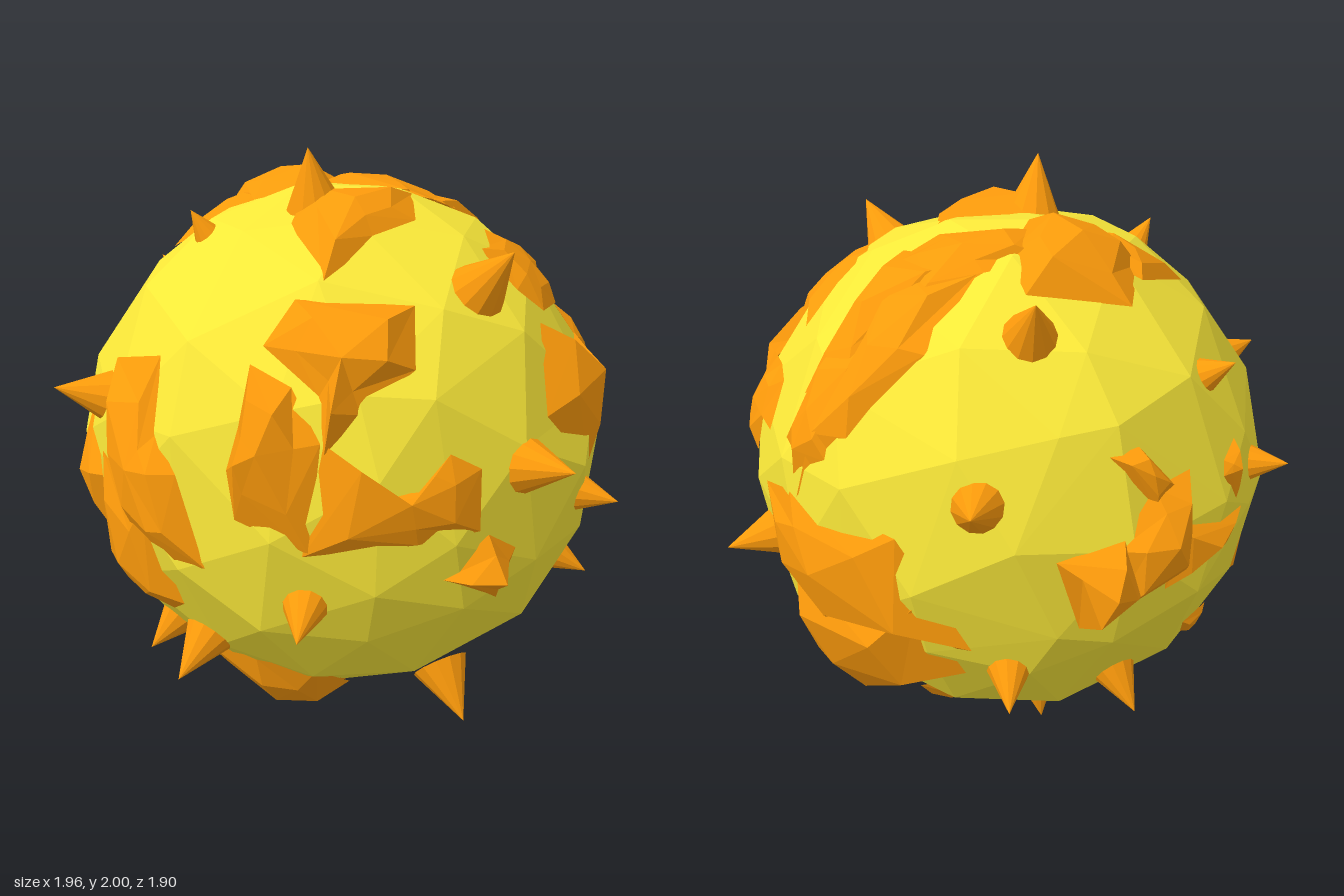
import * as THREE from 'three';
import { mergeVertices } from 'three/addons/utils/BufferGeometryUtils.js';

const CENTRE = new THREE.Vector3(-0.015, 0.96, 0.01);
const DEPTH = 0.975; // the ball is slightly shallower front to back
const yellow = new THREE.MeshStandardMaterial({ color: 0xfbe939, flatShading: true });
const orange = new THREE.MeshStandardMaterial({ color: 0xff9c0b, flatShading: true, side: THREE.DoubleSide });

let seed = 7;
const rand = () => {
  seed = (seed * 16807) % 2147483647;
  return seed / 2147483647 - 0.5;
};

// Low-poly ball with slightly irregular facets
function makeBody() {
  let geo = new THREE.IcosahedronGeometry(0.9, 2);
  geo.deleteAttribute('normal');
  geo.deleteAttribute('uv');
  geo = mergeVertices(geo, 1e-3);
  const pos = geo.attributes.position;
  const v = new THREE.Vector3();
  for (let i = 0; i < pos.count; i++) {
    v.fromBufferAttribute(pos, i);
    v.x += rand() * 0.16;
    v.y += rand() * 0.16;
    v.z += rand() * 0.16;
    v.setLength(0.9 + rand() * 0.02);
    pos.setXYZ(i, v.x, v.y, v.z * DEPTH);
  }
  geo = geo.toNonIndexed();
  geo.computeVertexNormals();
  const body = new THREE.Mesh(geo, yellow);
  body.position.copy(CENTRE);
  body.name = 'body';
  return body;
}

// Directions a patch outline is laid on from: azimuth from +z, elevation
function frame(azimuth, elevation) {
  const a = THREE.MathUtils.degToRad(azimuth), e = THREE.MathUtils.degToRad(elevation);
  const out = new THREE.Vector3(Math.sin(a) * Math.cos(e), Math.sin(e), Math.cos(a) * Math.cos(e));
  const right = new THREE.Vector3(Math.cos(a), 0, -Math.sin(a));
  return { right, up: out.clone().cross(right), out };
}

// Faceted crust: an outline on the ball, an uneven inner ring and a raised middle
function makePatch({ right, up, out }, outline, rise) {
  const onBall = (u, v, r) => {
    const k = Math.min(1, 0.89 / Math.hypot(u, v));
    u *= k;
    v *= k;
    return new THREE.Vector3()
      .addScaledVector(right, u).addScaledVector(up, v)
      .addScaledVector(out, Math.sqrt(0.81 - u * u - v * v))
      .setLength(r);
  };
  const rim = outline.map(([u, v]) => onBall(u, v, 0.887));
  const mid = rim.reduce((s, p) => s.add(p), new THREE.Vector3()).setLength(0.9 + rise);
  const ring = rim.map((p) => p.clone().lerp(mid, 0.42).setLength(0.9 + rise * (0.5 + rand() * 0.8)));
  const n = rim.length, tris = [];
  for (let i = 0; i < n; i++) {
    const j = (i + 1) % n;
    tris.push(rim[i], rim[j], ring[j], rim[i], ring[j], ring[i], ring[i], ring[j], mid);
  }
  // keep every triangle facing outward
  for (let i = 0; i < tris.length; i += 3) {
    const [a, b, c] = tris.slice(i, i + 3);
    if (b.clone().sub(a).cross(c.clone().sub(a)).dot(a) < 0) [tris[i + 1], tris[i + 2]] = [c, b];
  }
  const points = tris.map((p) => new THREE.Vector3(p.x, p.y, p.z * DEPTH));
  const geo = new THREE.BufferGeometry().setFromPoints(points);
  geo.computeVertexNormals();
  const patch = new THREE.Mesh(geo, orange);
  patch.name = 'crustPatch';
  return patch;
}

const front = frame(0, 0), side = frame(90, 0), top = frame(0, 90), under = frame(0, -90);
const backUpper = frame(217, 25), backLower = frame(143, -25);

// [rise, outline]; front is (x, y), side is (z, y), top and under are (x, z), the rest relative to the centre
const FRONT_PATCHES = [
  [0.08, [[-.2, 1.62], [.16, 1.6], [.15, 1.44], [-.02, 1.33], [-.13, 1.22], [-.14, 1.38], [-.3, 1.5]]],
  [0.07, [[-.34, 1.45], [-.22, 1.4], [-.14, 1.25], [-.18, .91], [-.4, 1], [-.42, 1.15], [-.38, 1.28]]],
  [0.025, [[-.13, 1.25], [0, 1.1], [.15, 1.1], [.25, 1.2], [.35, 1.14], [.35, .94], [.15, .93], [-.2, .9]]],
  [0.09, [[.23, .79], [.38, .92], [.48, .84], [.43, .65]]],
  [0.08, [[-.56, .35], [-.35, .37], [-.15, .35], [-.03, .22], [-.1, .15], [-.2, .12], [-.38, .1]]],
  [0.05, [[-.62, 1.42], [-.64, 1.2], [-.58, 1.1], [-.5, .8], [-.58, .78], [-.74, .85], [-.82, 1.1], [-.78, 1.35]]],
  [0.04, [[-.84, 1.05], [-.7, .95], [-.58, .6], [-.62, .54], [-.75, .5], [-.84, .65]]],
];
const SIDE_PATCHES = [
  [0.07, [[.62, 1.23], [.42, 1.48], [.35, 1.32], [.1, 1.35], [.04, 1.22], [.25, 1.2], [.42, .98]]],
  [0.03, [[.12, 1.34], [-.1, 1.4], [-.2, 1.38], [-.24, 1.22], [-.1, 1.22], [-.1, 1.08], [.03, 1.1], [.17, 1.2]]],
  [0.01, [[.38, 1.58], [.3, 1.7], [.1, 1.72], [-.02, 1.65], [-.1, 1.53], [.05, 1.55], [.18, 1.48], [.35, 1.5]]],
  [0.03, [[-.1, 1.78], [-.3, 1.82], [-.47, 1.48], [-.36, 1.4], [-.25, 1.65]]],
  [0.03, [[-.33, 1.55], [-.45, 1.6], [-.56, 1.25], [-.46, 1.15], [-.37, 1.25]]],
  [0.04, [[-.28, 1.05], [-.45, 1.1], [-.77, 1.08], [-.82, .68], [-.55, .6], [-.3, .8]]],
  [0.08, [[-.22, .52], [-.36, .52], [-.45, .82], [-.8, .85], [-.76, .55], [-.4, .28], [-.18, .33]]],
];
const TOP_PATCHES = [
  [0.02, [[-.6, -.08], [-.42, -.28], [-.25, -.22], [-.3, -.06]]],
  [0.07, [[-.36, -.42], [-.02, -.45], [.02, -.28], [-.08, -.05], [-.32, -.03], [-.42, -.2]]],
  [0.03, [[-.12, -.3], [.1, -.35], [.35, -.42], [.4, -.15], [.22, -.08], [-.08, -.13]]],
  [0.03, [[.12, -.35], [.3, -.55], [.55, -.58], [.74, -.5], [.45, -.38], [.35, -.2]]],
  [0.05, [[-.15, .1], [.22, .02], [.2, .28], [.05, .4], [-.12, .58], [-.2, .3]]],
];
const UNDER_PATCHES = [
  [0.05, [[-.35, .42], [-.08, .44], [.12, .2], [.2, -.02], [0, -.2], [-.24, .02]]],
];
const BACK_UPPER_PATCHES = [
  [0.1, [[-.5, -.25], [-.3, -.25], [-.22, -.45], [-.42, -.5]]],
  [0.07, [[-.33, -.28], [-.18, -.13], [-.03, -.12], [-.04, -.28], [-.06, -.45], [-.33, -.5]]],
  [0.04, [[-.14, -.28], [.27, -.34], [.2, -.42], [-.14, -.48]]],
  [0.03, [[-.3, .01], [-.2, .01], [-.1, -.15], [-.18, -.2]]],
  [0.03, [[.15, -.15], [.24, -.1], [.22, -.3], [.14, -.2]]],
  [0.04, [[.78, 0], [.87, -.1], [.82, -.33], [.72, -.3]]],
  [0.05, [[.4, -.64], [.6, -.43], [.75, -.46], [.66, -.58], [.5, -.7]]],
  [0.03, [[.08, -.88], [.27, -.74], [.5, -.68], [.36, -.81]]],
  [0.01, [[.05, -.68], [.18, -.66], [.15, -.76]]],
];
const BACK_LOWER_PATCHES = [
  [0.04, [[-.45, -.7], [-.18, -.62], [.1, -.64], [.15, -.73], [.1, -.86], [-.12, -.88], [-.3, -.82]]],
  [0.01, [[0, -.35], [.08, -.45], [.06, -.62], [-.03, -.62]]],
];

// Spikes: tip position and size
const SPIKES = [
  [-.14, 2, .2, 1], [.45, 1.75, .6, 1], [-.98, 1.25, .28, 1], [.62, 1.13, .82, 1],
  [.86, .88, .5, .75], [.98, .78, -.24, 1], [.81, .55, .36, .9], [.61, .18, -.02, .9],
  [.33, .21, .73, 1], [-.22, .66, .95, 1], [-.72, .27, .3, 1], [-.6, .36, .65, .9],
  [-.91, 1.09, -.42, 1], [-.67, 1.5, -.5, .8], [-.52, 1.79, .11, .75], [-.02, 1.77, -.65, 1],
  [.2, 1.25, -.95, 1], [.08, .5, -.88, .85], [-.11, 0, -.3, 1], [-.38, .28, -.65, .9],
];

function makeSpike(x, y, z, size) {
  const height = 0.2 * size;
  const geo = new THREE.ConeGeometry(0.095 * size, height, 12).translate(0, -height / 2, 0);
  const spike = new THREE.Mesh(geo, orange);
  const tip = new THREE.Vector3(x, y, z);
  spike.quaternion.setFromUnitVectors(new THREE.Vector3(0, 1, 0), tip.clone().sub(CENTRE).normalize());
  spike.position.copy(tip);
  spike.name = 'spike';
  return spike;
}

export function createModel() {
  const model = new THREE.Group();
  model.name = 'spikyBall';
  model.add(makeBody());

  const crust = new THREE.Group();
  crust.name = 'crust';
  crust.position.copy(CENTRE);
  const addPatches = (list, view, map) => {
    for (const [rise, outline] of list) crust.add(makePatch(view, outline.map(map), rise));
  };
  addPatches(FRONT_PATCHES, front, ([x, y]) => [x - CENTRE.x, y - CENTRE.y]);
  addPatches(SIDE_PATCHES, side, ([z, y]) => [CENTRE.z - z, y - CENTRE.y]);
  addPatches(TOP_PATCHES, top, ([x, z]) => [x - CENTRE.x, CENTRE.z - z]);
  addPatches(UNDER_PATCHES, under, ([x, z]) => [x - CENTRE.x, z - CENTRE.z]);
  addPatches(BACK_UPPER_PATCHES, backUpper, (p) => p);
  addPatches(BACK_LOWER_PATCHES, backLower, (p) => p);
  model.add(crust);

  const spikes = new THREE.Group();
  spikes.name = 'spikes';
  for (const s of SPIKES) spikes.add(makeSpike(...s));
  model.add(spikes);
  return model;
}
